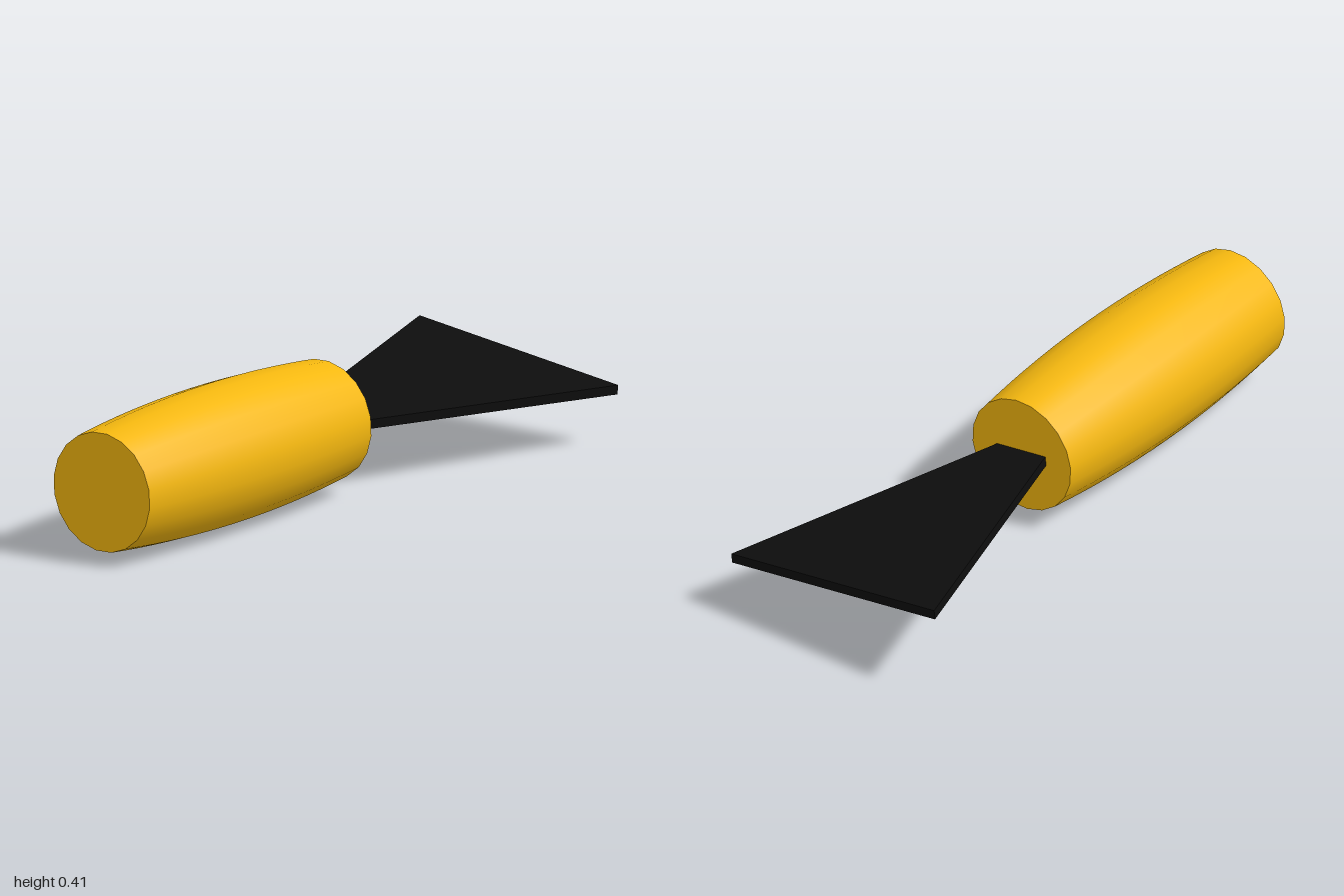
import * as THREE from 'three';

const LENGTH = 1.034, END_R = 0.18, MID_R = 0.2085;

export function createModel() {
  const model = new THREE.Group();
  const yellow = new THREE.MeshStandardMaterial({ color: 0xf5b80f });
  const black = new THREE.MeshStandardMaterial({ color: 0x0d0d0d });

  // Tool axis is local x, origin at the front face of the handle
  const tool = new THREE.Group();
  tool.name = 'scraper';
  tool.position.set(0.048, 0.2085, 0.085);
  tool.rotation.set(0.113, 0.12, 0, 'YXZ');
  model.add(tool);

  // Barrel-shaped handle; doubled end points keep the cap edges sharp
  const profile = [new THREE.Vector2(0, -LENGTH), new THREE.Vector2(END_R, -LENGTH)];
  for (let i = 0; i <= 16; i++) {
    const t = i / 16;
    const r = END_R + (MID_R - END_R) * (1 - (2 * t - 1) ** 2);
    profile.push(new THREE.Vector2(r, (t - 1) * LENGTH));
  }
  profile.push(new THREE.Vector2(END_R, 0), new THREE.Vector2(0, 0));
  const handle = new THREE.Mesh(new THREE.LatheGeometry(profile, 20), yellow);
  handle.name = 'handle';
  handle.rotation.z = -Math.PI / 2;
  tool.add(handle);

  // Flat flared blade, drawn in plan and extruded to its thickness
  const plan = new THREE.Shape([
    new THREE.Vector2(-0.005, -0.087),
    new THREE.Vector2(0.91, -0.373),
    new THREE.Vector2(0.91, 0.373),
    new THREE.Vector2(-0.005, 0.087),
  ]);
  const bladeGeo = new THREE.ExtrudeGeometry(plan, { depth: 0.029, bevelEnabled: false });
  bladeGeo.translate(0, 0, -0.0145).rotateX(-Math.PI / 2);
  const blade = new THREE.Mesh(bladeGeo, black);
  blade.name = 'blade';
  tool.add(blade);

  return model;
}
